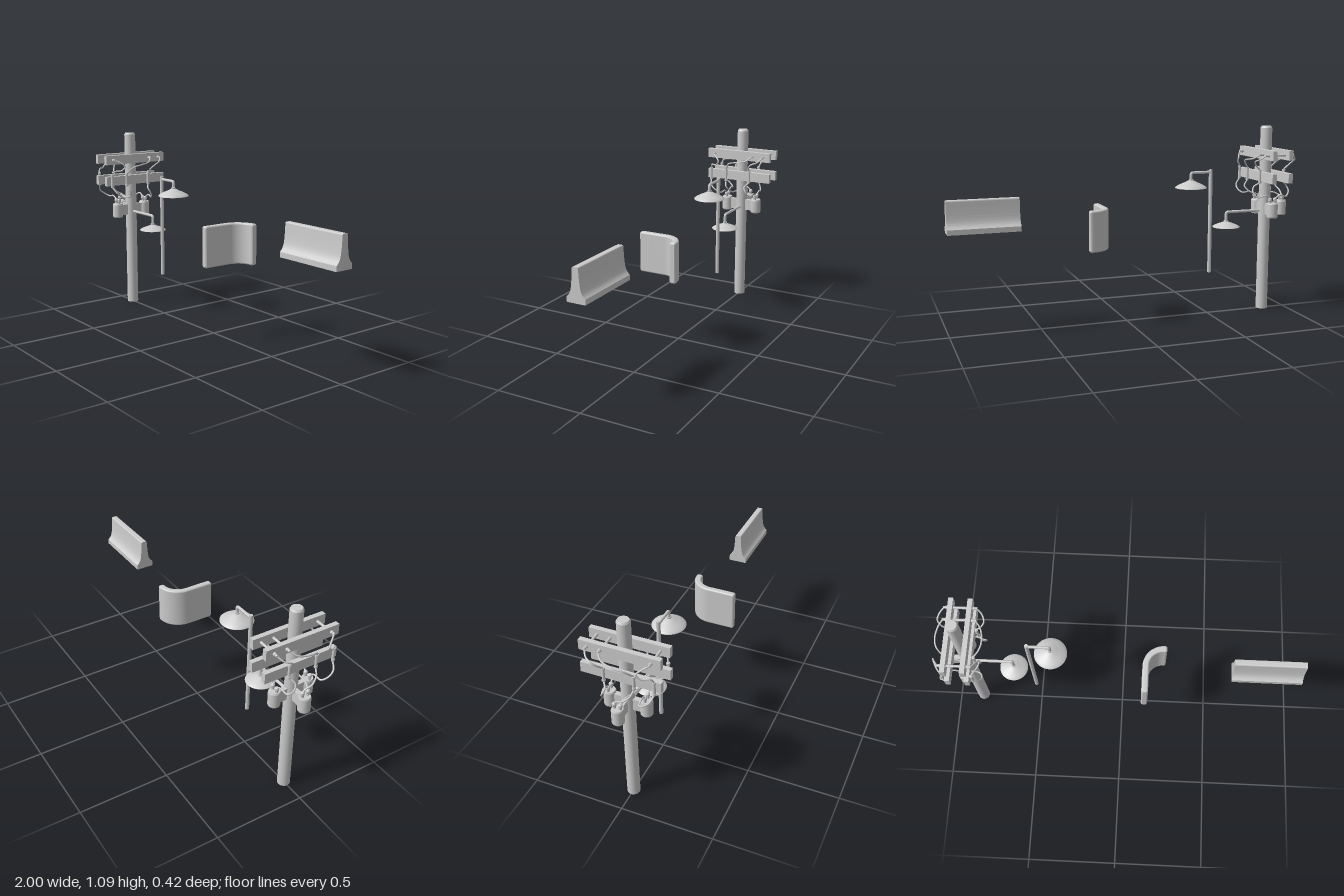
import * as THREE from 'three';

const grey = new THREE.MeshStandardMaterial({ color: 0xcccccc });
const greyThin = new THREE.MeshStandardMaterial({ color: 0xcccccc, side: THREE.DoubleSide });
const V = (x, y, z) => new THREE.Vector3(x, y, z);

function add(parent, name, geo, x = 0, y = 0, z = 0, mat = grey) {
  const m = new THREE.Mesh(geo, mat);
  m.name = name;
  m.position.set(x, y, z);
  parent.add(m);
  return m;
}

function group(parent, name, x = 0, y = 0, z = 0) {
  const g = new THREE.Group();
  g.name = name;
  g.position.set(x, y, z);
  parent.add(g);
  return g;
}

// Lathe with doubled points so that profile edges stay crisp
function turned(points, segments = 24) {
  const p = [];
  points.forEach(([r, y], i) => {
    p.push(new THREE.Vector2(r, y));
    if (i > 0 && i < points.length - 1) p.push(new THREE.Vector2(r, y));
  });
  return new THREE.LatheGeometry(p, segments);
}

const rod = (r, h, n = 12) => new THREE.CylinderGeometry(r, r, h, n);

// Smooth wire through a few points
const wire = (pts, r = 0.0045) =>
  new THREE.TubeGeometry(new THREE.CatmullRomCurve3(pts), 32, r, 8);

// Bent arm with a shallow domed shade and bulb; origin is where the arm starts
function lamp(parent, name, x, y, reach, drop, radius, height) {
  const g = group(parent, name, x, y, 0);
  const bend = 0.012;
  const path = new THREE.CurvePath();
  path.add(new THREE.LineCurve3(V(0, 0, 0), V(reach - bend, 0, 0)));
  path.add(new THREE.QuadraticBezierCurve3(V(reach - bend, 0, 0), V(reach, 0, 0), V(reach, -bend, 0)));
  path.add(new THREE.LineCurve3(V(reach, -bend, 0), V(reach, -drop, 0)));
  add(g, 'lampArm', new THREE.TubeGeometry(path, 60, 0.0085, 10), 0, 0, 0, greyThin);
  const h = height;
  const dome = [[0.0001, 0], [0.16, 0], [0.38, -0.24], [0.62, -0.45], [0.85, -0.7], [1, -0.92], [1, -1]]
    .map(([r, v]) => new THREE.Vector2(r * radius, v * h)).reverse();
  add(g, 'lampShade', new THREE.LatheGeometry(dome, 32), reach, -drop, 0, greyThin);
  add(g, 'shadeCollar', rod(0.013, 0.014), reach, -drop, 0);
  add(g, 'bulb', new THREE.SphereGeometry(0.018, 16, 12), reach, -drop - h + 0.014, 0);
}

function utilityPole(root) {
  const g = group(root, 'utilityPole', -0.86, 0, 0);
  add(g, 'pole', turned([[0, 0], [0.034, 0], [0.034, 1.08], [0.028, 1.09], [0, 1.09]]));

  // Paired crossarms at two heights
  for (const y of [0.933, 0.803]) {
    for (const s of [-1, 1]) {
      add(g, 'crossarm', new THREE.BoxGeometry(0.026, 0.056, 0.418), s * 0.051, y, 0);
    }
  }

  // Through bolts that carry the upper wires
  for (const z of [0.162, -0.095, -0.165]) {
    add(g, 'throughBolt', rod(0.007, 0.18), 0, 0.933, z).rotation.z = Math.PI / 2;
    for (const s of [-1, 1]) {
      add(g, 'boltCap', rod(0.009, 0.012), s * 0.071, 0.933, z).rotation.z = Math.PI / 2;
    }
  }

  // Transformer cans with lid, bushings and bracket
  for (const [x, z] of [[0, 0.098], [0, -0.098], [-0.108, 0]]) {
    const t = group(g, 'transformer', x, 0, z);
    add(t, 'can', turned([[0, 0.563], [0.029, 0.563], [0.032, 0.569], [0.032, 0.642], [0.029, 0.65], [0, 0.65]]));
    for (const s of [-1, 1]) {
      const [bx, bz] = z ? [s * 0.016, 0] : [0, s * 0.016];
      add(t, 'bushing', turned([[0, 0.648], [0.008, 0.648], [0.008, 0.66], [0.011, 0.664],
        [0.011, 0.676], [0.006, 0.682], [0, 0.682]], 12), bx, 0, bz);
    }
    add(g, 'bracket', new THREE.BoxGeometry(z ? 0.026 : 0.056, 0.066, z ? 0.056 : 0.026), x * 0.48, 0.607, z * 0.48);
  }

  // Fuses and their wires, mirrored on both sides of the pole
  const runs = [
    { fuse: 0.18,
      upper: [[0.085, 0.933, 0.162], [0.105, 0.918, 0.135], [0.12, 0.895, 0.112], [0.112, 0.87, 0.135], [0.09, 0.865, 0.17]],
      lower: [[0.105, 0.735, 0.165], [0.11, 0.71, 0.135], [0.09, 0.69, 0.105], [0.05, 0.695, 0.1], [0.016, 0.678, 0.098]] },
    { fuse: 0.077,
      upper: [[0.085, 0.933, -0.095], [0.11, 0.91, -0.065], [0.123, 0.898, 0], [0.112, 0.885, 0.045]],
      lower: null },
    { fuse: -0.08,
      upper: [[0.085, 0.933, -0.165], [0.11, 0.91, -0.145], [0.123, 0.895, -0.11], [0.11, 0.875, -0.09]],
      lower: [[0.105, 0.745, -0.062], [0.115, 0.715, -0.075], [0.09, 0.685, -0.092], [0.05, 0.695, -0.1], [0.016, 0.678, -0.098]] },
  ];
  for (const s of [-1, 1]) {
    for (const { fuse, upper, lower } of runs) {
      const fx = s * 0.077;
      add(g, 'fuse', rod(0.0075, 0.07), fx, 0.805, fuse);
      for (const y of [0.772, 0.838]) add(g, 'fuseCap', rod(0.0095, 0.01), fx, y, fuse);
      const pts = upper.map(([x, y, z]) => V(s * x, y, z));
      add(g, 'upperWire', wire([...pts, V(fx, 0.843, fuse)]));
      // The middle run reaches across to the side transformer
      const tail = lower ? lower.map(([x, y, z]) => V(s * x, y, z))
        : s > 0 ? [V(0.1, 0.735, 0.065), V(0.07, 0.7, 0.045), V(0, 0.685, 0.045), V(-0.07, 0.695, 0.03), V(-0.108, 0.678, 0.016)]
          : [V(-0.1, 0.735, 0.065), V(-0.115, 0.705, 0.03), V(-0.108, 0.69, 0), V(-0.108, 0.678, -0.016)];
      add(g, 'lowerWire', wire([V(fx, 0.768, fuse), ...tail]));
    }
  }

  lamp(g, 'poleLamp', 0.02, 0.595, 0.227, 0.055, 0.079, 0.032);
}

function streetLamp(root) {
  const g = group(root, 'streetLamp', -0.51, 0, 0);
  add(g, 'post', turned([[0, 0.245], [0.011, 0.245], [0.011, 0.848], [0, 0.848]], 16));
  lamp(g, 'postLamp', 0, 0.833, 0.122, 0.043, 0.09, 0.043);
}

// Curved wall: a rounded cross-section swept along a straight run and a bend
function curvedWall(root) {
  const t = 0.018, y0 = 0.431, y1 = 0.661, r = 0.01;
  const section = [];
  const corner = (cx, cy, a0) => {
    for (let i = 0; i <= 4; i++) {
      const a = a0 + (i / 4) * Math.PI / 2;
      section.push([cx + r * Math.cos(a), cy + r * Math.sin(a)]);
    }
  };
  corner(t - r, y1 - r, 0);
  corner(-t + r, y1 - r, Math.PI / 2);
  corner(-t + r, y0 + r, Math.PI);
  corner(t - r, y0 + r, Math.PI * 1.5);

  // Stations: x, z, heading angle, and shrink for the rounded ends
  const st = [[0.128, 0.165, 0, 0.007], [0.128, 0.162, 0, 0.002], [0.128, 0.156, 0, 0], [0.128, 0.09, 0, 0]];
  const R = 0.102, zc = 0.01;
  for (let i = 0; i <= 16; i++) {
    const a = (i / 16) * Math.PI / 2;
    st.push([0.128 + R - R * Math.cos(a), zc - R * Math.sin(a), a, 0]);
  }
  st.push([0.235, zc - R, Math.PI / 2, 0], [0.241, zc - R, Math.PI / 2, 0.002], [0.244, zc - R, Math.PI / 2, 0.007]);

  const n = section.length, pos = [], idx = [], ym = (y0 + y1) / 2;
  for (const [x, z, a, k] of st) {
    for (const [u, y] of section) {
      const w = u * (1 - k / t), h = ym + (y - ym) * (1 - k / (y1 - ym));
      pos.push(x + w * Math.cos(a), h, z + w * Math.sin(a));
    }
  }
  for (let i = 0; i < st.length - 1; i++) {
    for (let j = 0; j < n; j++) {
      const a = i * n + j, b = i * n + (j + 1) % n;
      idx.push(a, b, a + n, b, b + n, a + n);
    }
  }
  // Flat end caps with their own vertices
  for (const [ring, flip] of [[0, false], [st.length - 1, true]]) {
    const base = pos.length / 3;
    for (let j = 0; j < n * 3; j++) pos.push(pos[ring * n * 3 + j]);
    for (let j = 1; j < n - 1; j++) idx.push(base, base + (flip ? j + 1 : j), base + (flip ? j : j + 1));
  }
  const geo = new THREE.BufferGeometry();
  geo.setAttribute('position', new THREE.Float32BufferAttribute(pos, 3));
  geo.setIndex(idx);
  geo.computeVertexNormals();
  add(root, 'curvedWall', geo, 0, 0, 0, greyThin);
}

// Road barrier: a flared profile extruded along x
function roadBarrier(root) {
  const s = new THREE.Shape();
  s.moveTo(-0.052, 0.564);
  s.lineTo(0.052, 0.564);
  s.lineTo(0.052, 0.592);
  s.bezierCurveTo(0.026, 0.615, 0.023, 0.63, 0.018, 0.733);
  s.quadraticCurveTo(0.017, 0.741, 0.01, 0.741);
  s.lineTo(-0.01, 0.741);
  s.quadraticCurveTo(-0.017, 0.741, -0.018, 0.733);
  s.bezierCurveTo(-0.023, 0.63, -0.026, 0.615, -0.052, 0.592);
  s.closePath();
  const geo = new THREE.ExtrudeGeometry(s, { depth: 0.39, bevelEnabled: false, curveSegments: 10 });
  geo.rotateY(Math.PI / 2);
  add(root, 'roadBarrier', geo, 0.607, 0, 0);
}

export function createModel() {
  const root = new THREE.Group();
  root.name = 'streetProps';
  utilityPole(root);
  streetLamp(root);
  curvedWall(root);
  roadBarrier(root);
  return root;
}
